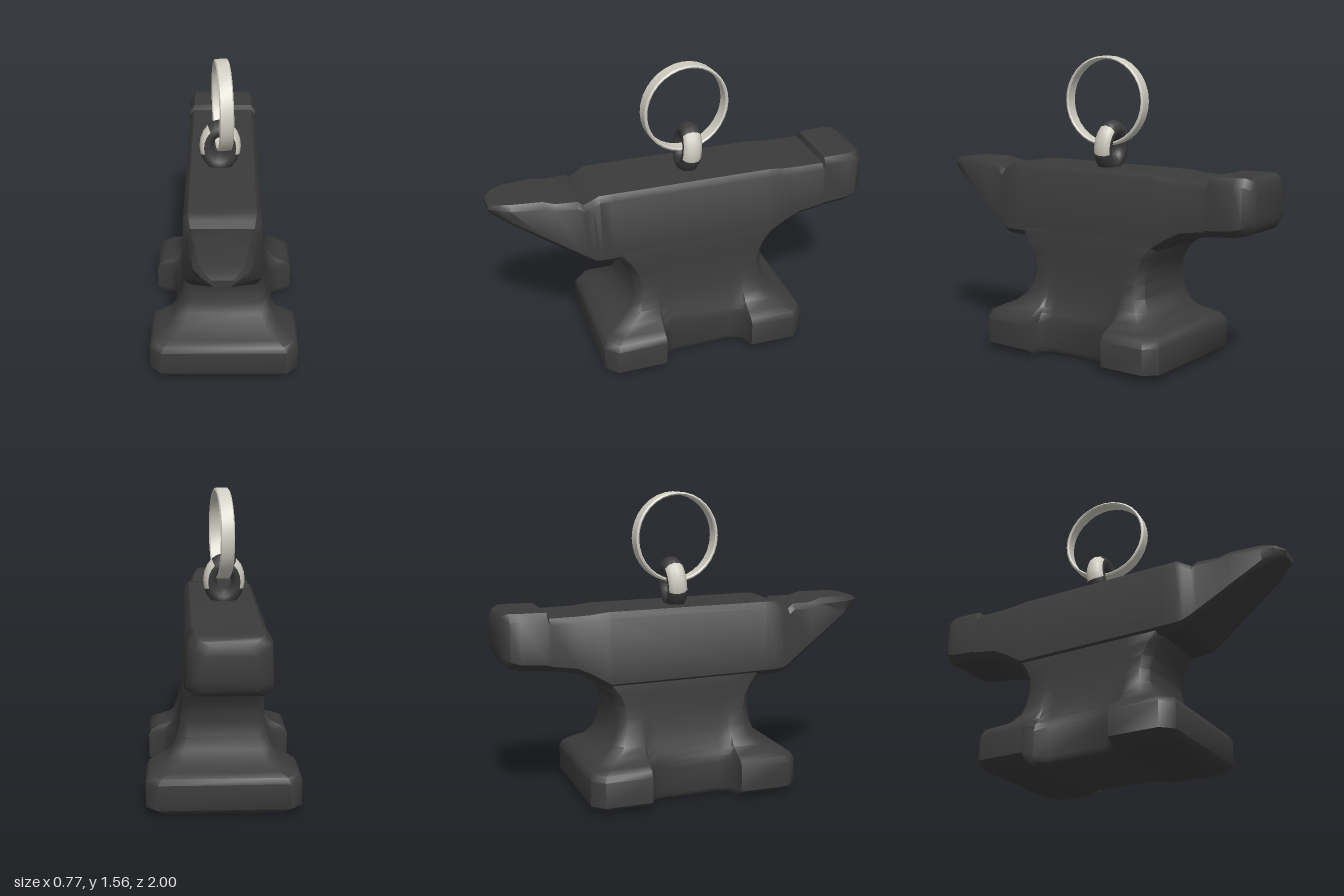
import * as THREE from 'three';
import { toCreasedNormals } from 'three/addons/utils/BufferGeometryUtils.js';

const iron = new THREE.MeshStandardMaterial({ color: 0x3b3b3b });
iron.name = 'dark iron';
const steel = new THREE.MeshStandardMaterial({ color: 0xd0cdc2 });
steel.name = 'pale steel';

// Skin a row of symmetric loops; each loop runs up one side and back down the mirrored side.
function loft(loops, crease) {
  const n = loops[0].length, index = [];
  const quad = (a, b, c, d) => index.push(a, b, c, a, c, d);
  for (let s = 0; s < loops.length - 1; s++) {
    for (let i = 0; i < n; i++) {
      const j = (i + 1) % n, a = s * n, b = a + n;
      quad(a + i, a + j, b + j, b + i);
    }
  }
  const last = (loops.length - 1) * n;
  for (let i = 0; i < n / 2 - 1; i++) {
    quad(n - 1 - i, n - 2 - i, i + 1, i);
    quad(last + i, last + i + 1, last + n - 2 - i, last + n - 1 - i);
  }
  const g = new THREE.BufferGeometry();
  g.setAttribute('position', new THREE.Float32BufferAttribute(loops.flat(2), 3));
  g.setIndex(index);
  return toCreasedNormals(g, crease);
}

const mirrorLoop = (half, cx) => [
  ...half.map(([x, y, z]) => [cx + x, y, z]),
  ...half.slice().reverse().map(([x, y, z]) => [cx - x, y, z]),
];

// Horizontal slice of the foot and waist: four feet with a notch in each side
function baseSlice([y, hx, mx, zf, zb, c]) {
  const k = mx + (hx - mx) * 0.35;
  const half = [
    [hx - c, zf], [hx, zf - c], [hx, 0.185], [k, 0.17], [mx, 0.11],
    [mx, -0.22], [k, -0.28], [hx, -0.295], [hx, zb + c], [hx - c, zb],
  ];
  return mirrorLoop(half.map(([x, z]) => [x, y, z]), -0.002);
}

// Upright slice of the horn, face and heel
function faceSlice([z, wb, wt, yb, yt, c]) {
  const half = [[wb - c, yb], [wb, yb + c], [wt, yt - c], [wt - c * 0.8, yt]];
  return mirrorLoop(half.map(([x, y]) => [x, y, z]), -0.01);
}

export function createModel() {
  const model = new THREE.Group();
  const add = (name, geometry, material) => {
    const m = new THREE.Mesh(geometry, material);
    m.name = name;
    model.add(m);
    return m;
  };

  // Foot and waist: y, foot half-width, middle half-width, front z, back z, corner cut
  add('footAndWaist', loft([
    [0.0, 0.31, 0.24, 0.46, -0.54, 0.06],
    [0.015, 0.35, 0.26, 0.495, -0.58, 0.06],
    [0.04, 0.387, 0.265, 0.51, -0.60, 0.06],
    [0.17, 0.387, 0.265, 0.51, -0.60, 0.06],
    [0.20, 0.37, 0.262, 0.495, -0.59, 0.06],
    [0.22, 0.335, 0.258, 0.46, -0.555, 0.06],
    [0.25, 0.28, 0.25, 0.395, -0.505, 0.06],
    [0.30, 0.247, 0.235, 0.335, -0.45, 0.05],
    [0.36, 0.227, 0.222, 0.31, -0.422, 0.04],
    [0.43, 0.213, 0.212, 0.302, -0.413, 0.04],
    [0.50, 0.206, 0.206, 0.315, -0.42, 0.04],
    [0.56, 0.203, 0.203, 0.345, -0.445, 0.04],
    [0.62, 0.20, 0.20, 0.39, -0.49, 0.04],
    [0.67, 0.19, 0.19, 0.40, -0.50, 0.04],
  ].map(baseSlice), 0.8), iron);

  // Heel, face and horn: z, bottom half-width, top half-width, bottom y, top y, corner cut
  add('faceAndHorn', loft([
    [-1.0, 0.13, 0.12, 0.79, 0.96, 0.04],
    [-0.985, 0.16, 0.155, 0.755, 0.985, 0.04],
    [-0.95, 0.19, 0.185, 0.728, 1.0, 0.04],
    [-0.90, 0.198, 0.192, 0.718, 1.0, 0.035],
    [-0.765, 0.20, 0.19, 0.707, 0.998, 0.035],
    [-0.755, 0.20, 0.19, 0.706, 0.968, 0.03],
    [-0.62, 0.20, 0.19, 0.685, 0.97, 0.03],
    [-0.54, 0.20, 0.19, 0.645, 0.973, 0.03],
    [-0.50, 0.202, 0.19, 0.62, 0.978, 0.03],
    [-0.45, 0.203, 0.19, 0.59, 0.983, 0.03],
    [0.40, 0.203, 0.19, 0.60, 0.988, 0.03],
    [0.465, 0.203, 0.19, 0.602, 0.988, 0.03],
    [0.50, 0.20, 0.185, 0.607, 0.968, 0.03],
    [0.54, 0.192, 0.178, 0.63, 0.945, 0.03],
    [0.57, 0.186, 0.172, 0.65, 0.966, 0.03],
    [0.68, 0.165, 0.158, 0.722, 0.966, 0.03],
    [0.74, 0.155, 0.15, 0.762, 0.985, 0.03],
    [0.90, 0.125, 0.13, 0.87, 0.987, 0.028],
    [0.96, 0.09, 0.10, 0.908, 0.983, 0.022],
    [1.0, 0.05, 0.06, 0.93, 0.965, 0.012],
  ].map(faceSlice), 0.7), iron);

  // Link set in the face, with bright worn outer cheeks
  const radial = 10, around = 20;
  const linkGeo = new THREE.TorusGeometry(0.072, 0.036, radial, around);
  for (let j = 0, start = 0; j < radial; j++) {
    const outward = Math.cos(((j + 0.5) / radial) * Math.PI * 2);
    for (let i = 0; i < around; i++, start += 6) {
      const up = Math.sin(((i + 0.5) / around) * Math.PI * 2);
      linkGeo.addGroup(start, 6, outward > 0.25 && up > -0.4 && up < 0.8 ? 1 : 0);
    }
  }
  linkGeo.scale(1, 1.3, 1.45);
  const link = add('link', linkGeo, [iron, steel]);
  link.position.set(-0.022, 1.09, -0.06);
  link.rotation.x = -0.1;

  // Flat key ring hanging through the link
  const band = [
    [0.217, -0.03], [0.224, -0.036], [0.233, -0.03], [0.233, 0.03],
    [0.224, 0.036], [0.217, 0.03], [0.217, -0.03],
  ].map(([r, h]) => new THREE.Vector2(r, h));
  const ringGeo = toCreasedNormals(new THREE.LatheGeometry(band, 32).rotateZ(-Math.PI / 2), 0.5);
  const ring = add('ring', ringGeo, steel);
  ring.position.set(-0.01, 1.328, -0.04);
  ring.rotation.y = 0.1;

  return model;
}
